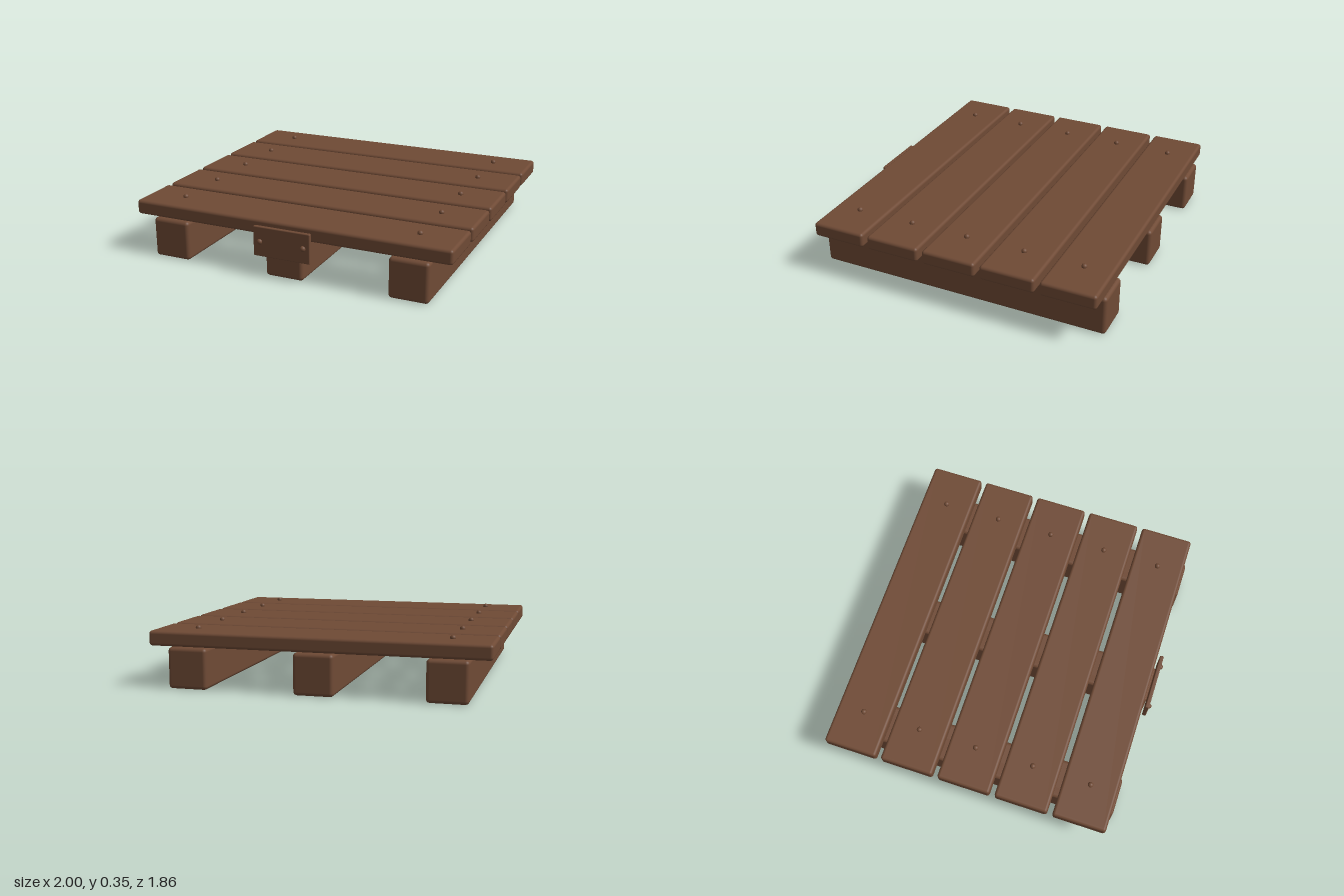
import * as THREE from 'three';
import { RoundedBoxGeometry } from 'three/addons/geometries/RoundedBoxGeometry.js';

const wood = new THREE.MeshStandardMaterial({ color: 0x6f4a35 });
wood.name = 'brown wood';

const MID_Z = -0.02;    // centre of the deck, the plate overhangs in front
const BEAM_X = 0.757;   // outer beams and nail rows
const PITCH = 0.364;    // plank spacing

export function createModel() {
  const model = new THREE.Group();
  model.name = 'pallet';

  const add = (name, geometry, x, y, z) => {
    const mesh = new THREE.Mesh(geometry, wood);
    mesh.name = name;
    mesh.position.set(x, y, z);
    model.add(mesh);
  };

  // Three beams running front to back
  const beam = new RoundedBoxGeometry(0.237, 0.243, 1.816, 3, 0.022);
  for (const x of [-BEAM_X, 0, BEAM_X]) add('beam', beam, x, 0.1215, MID_Z);

  // Five planks across, each with a nail head over both outer beams
  const plank = new RoundedBoxGeometry(2, 0.088, 0.332, 3, 0.018);
  const nail = new THREE.SphereGeometry(0.017, 16, 10);
  for (let i = -2; i <= 2; i++) {
    const z = MID_Z + i * PITCH;
    add('plank', plank, 0, 0.289, z);
    for (const side of [-1, 1]) add('deckNail', nail, side * BEAM_X, 0.337, z);
  }

  // Front plate with two nail heads
  add('frontPlate', new RoundedBoxGeometry(0.358, 0.181, 0.024, 2, 0.006), 0, 0.217, 0.902);
  for (const side of [-1, 1]) add('plateNail', nail, side * 0.137, 0.217, 0.913);

  return model;
}
